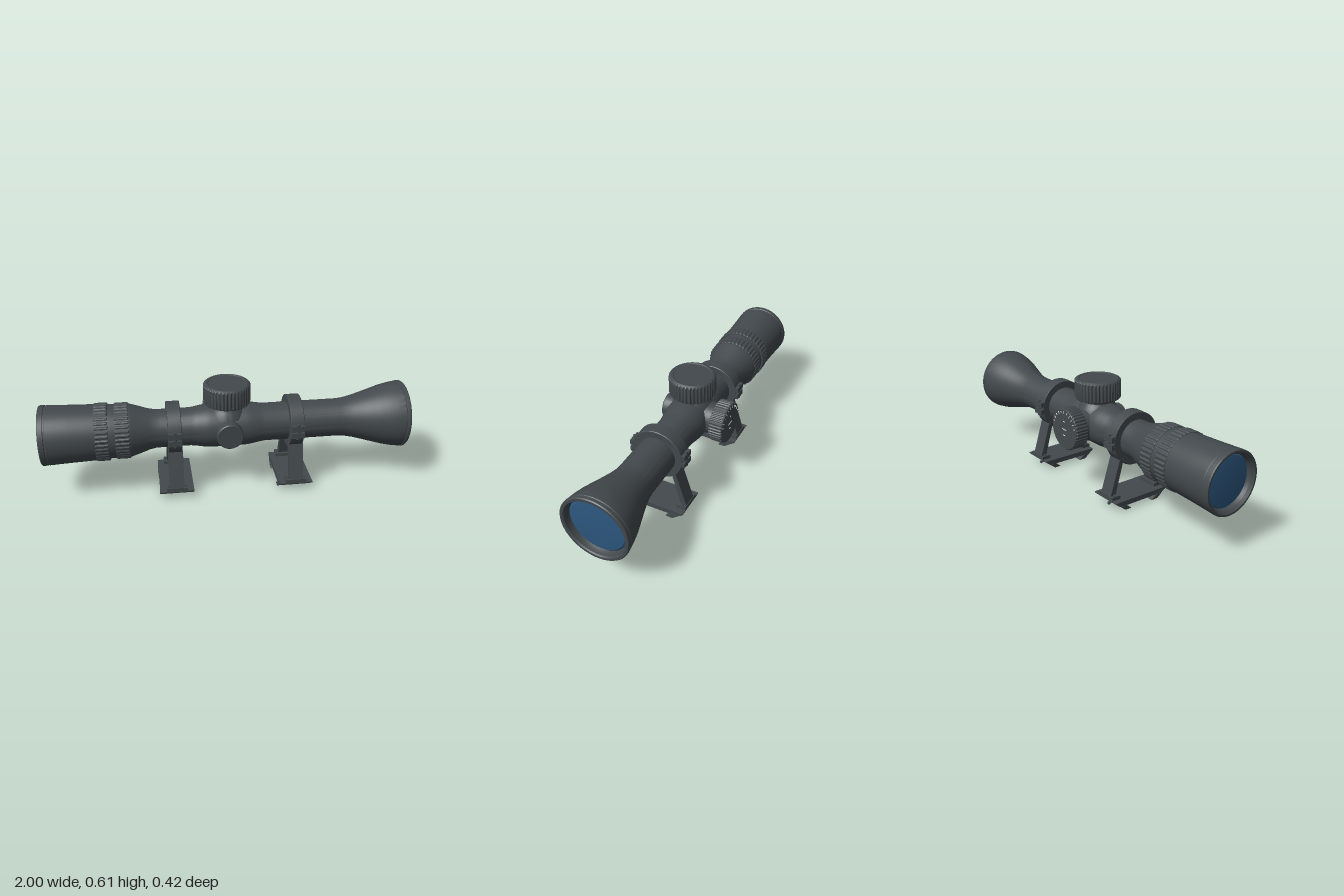
import * as THREE from 'three';
import { toCreasedNormals } from 'three/addons/utils/BufferGeometryUtils.js';

const AXIS_Y = 0.36, AXIS_Z = 0.022, TURRET_X = 0.005;

export function createModel() {
  const metal = new THREE.MeshStandardMaterial({ color: 0x43494d });
  metal.name = 'dark grey metal';
  const glass = new THREE.MeshStandardMaterial({ color: 0x2d5880 });
  glass.name = 'blue glass';
  const paint = new THREE.MeshStandardMaterial({ color: 0xd8dcde });
  paint.name = 'white paint';

  const model = new THREE.Group();
  model.name = 'scope';

  const add = (parent, name, geo, mat, x = 0, y = 0, z = 0) => {
    const mesh = new THREE.Mesh(geo, mat);
    mesh.name = name;
    mesh.position.set(x, y, z);
    parent.add(mesh);
    return mesh;
  };
  // Turned part from [radius, height] pairs, listed bottom to top
  const lathe = (pts, segments = 72) =>
    toCreasedNormals(new THREE.LatheGeometry(pts.map(p => new THREE.Vector2(p[0], p[1])), segments), 0.45);
  // Turned part whose vertices in a height band are cut into flutes
  const fluted = (pts, from, to, count, depth) => {
    const geo = new THREE.LatheGeometry(pts.map(p => new THREE.Vector2(p[0], p[1])), count * 4);
    const pos = geo.attributes.position;
    for (let i = 0; i < pos.count; i++) {
      const y = pos.getY(i), r = Math.hypot(pos.getX(i), pos.getZ(i));
      const step = Math.floor(i / pts.length) % 4;
      if (y < from || y > to || step < 2 || r < 0.09) continue;
      const k = (r - depth) / r;
      pos.setXYZ(i, pos.getX(i) * k, y, pos.getZ(i) * k);
    }
    return toCreasedNormals(geo, 0.45);
  };
  // Outline in (z, y) extruded along x and centred
  const slab = (pts, width) => {
    const shape = new THREE.Shape(pts.map(p => new THREE.Vector2(p[0], p[1])));
    const geo = new THREE.ExtrudeGeometry(shape, { depth: width, bevelEnabled: false });
    return geo.translate(0, 0, -width / 2).rotateY(-Math.PI / 2);
  };

  // Main tube with eyepiece, saddle bulge and objective bell
  const tube = lathe([
    [0.134, -0.955], [0.138, -0.985], [0.15, -1], [0.16, -1], [0.163, -0.995], [0.163, -0.972],
    [0.16, -0.969], [0.16, -0.964], [0.162, -0.961], [0.157, -0.85], [0.152, -0.7], [0.147, -0.64],
    [0.147, -0.53], [0.142, -0.515], [0.128, -0.47], [0.113, -0.425], [0.106, -0.39], [0.105, -0.36],
    [0.105, -0.2], [0.109, -0.17], [0.118, -0.12], [0.121, -0.09], [0.121, 0.1], [0.118, 0.13],
    [0.109, 0.18], [0.105, 0.21], [0.105, 0.62], [0.108, 0.66], [0.118, 0.71], [0.135, 0.77],
    [0.153, 0.83], [0.168, 0.88], [0.179, 0.93], [0.185, 0.972], [0.183, 0.975], [0.183, 0.979],
    [0.187, 0.982], [0.187, 0.995], [0.183, 1], [0.169, 1], [0.163, 0.994], [0.162, 0.975], [0.153, 0.955]
  ]).rotateZ(-Math.PI / 2);
  add(model, 'mainTube', tube, metal, 0, AXIS_Y, AXIS_Z);

  // Fluted adjustment rings on the eyepiece
  for (const [name, x, r, half] of [['focusRing', -0.675, 0.158, 0.036], ['zoomRing', -0.567, 0.153, 0.038]]) {
    const geo = fluted([
      [0.14, -half], [r - 0.004, -half], [r, -half + 0.005], [r, half - 0.005], [r - 0.004, half], [0.14, half]
    ], -half + 0.004, half - 0.004, 40, 0.004).rotateZ(-Math.PI / 2);
    add(model, name, geo, metal, x, AXIS_Y, AXIS_Z);
  }

  // Slightly domed lenses at both ends
  const lens = r => lathe([[r, 0], [r * 0.93, 0.008], [r * 0.6, 0.012], [0.0001, 0.014]]);
  add(model, 'objectiveLens', lens(0.157).rotateZ(-Math.PI / 2), glass, 0.96, AXIS_Y, AXIS_Z);
  add(model, 'eyepieceLens', lens(0.137).rotateZ(Math.PI / 2), glass, -0.96, AXIS_Y, AXIS_Z);

  // Top turret: flared neck and fluted cap
  add(model, 'topTurretNeck', lathe([
    [0.112, 0.07], [0.1, 0.1], [0.09, 0.112], [0.085, 0.122], [0.09, 0.145]
  ]), metal, TURRET_X, AXIS_Y, AXIS_Z);
  add(model, 'topTurretCap', fluted([
    [0.0001, 0], [0.122, 0], [0.128, 0.006], [0.128, 0.1], [0.122, 0.106], [0.112, 0.111],
    [0.105, 0.111], [0.1, 0.108], [0.0001, 0.108]
  ], 0.005, 0.102, 40, 0.004), metal, TURRET_X, 0.501, AXIS_Z);

  // Rear side turret
  const side = new THREE.Group();
  side.name = 'sideTurret';
  side.position.set(TURRET_X, AXIS_Y, 0);
  model.add(side);
  add(side, 'sideTurretNeck', lathe([[0.1, 0.04], [0.088, 0.09], [0.085, 0.13]]).rotateX(-Math.PI / 2), metal);
  add(side, 'sideTurretCap', fluted([
    [0.0001, 0.126], [0.112, 0.126], [0.117, 0.131], [0.117, 0.198], [0.111, 0.205], [0.0001, 0.205]
  ], 0.13, 0.199, 40, 0.004).rotateX(-Math.PI / 2), metal);
  // Scale marks around the upper rim of the cap
  for (let i = -5; i <= 5; i++) {
    const a = i * 0.26;
    const mark = add(side, 'scaleMark', new THREE.BoxGeometry(0.004, i % 2 ? 0.01 : 0.016, 0.003), paint,
      Math.sin(a) * 0.097, Math.cos(a) * 0.097, -0.206);
    mark.rotation.z = -a;
  }
  for (const [y, w] of [[0.045, 0.012], [0, 0.04], [-0.035, 0.018]])
    add(side, 'dialMark', new THREE.BoxGeometry(w, 0.004, 0.003), paint, 0, y, -0.206);

  // Front round cover
  add(model, 'frontCover', lathe([
    [0.072, 0.06], [0.072, 0.152], [0.068, 0.157], [0.0001, 0.157]
  ]).rotateX(Math.PI / 2), metal, TURRET_X, AXIS_Y, AXIS_Z);

  // Two raised mounts
  for (const x of [-0.29, 0.375]) {
    const mount = new THREE.Group();
    mount.name = 'mount';
    mount.position.set(x, 0, AXIS_Z);
    model.add(mount);

    const ring = lathe([
      [0.104, -0.037], [0.142, -0.037], [0.145, -0.034], [0.145, 0.034], [0.142, 0.037], [0.104, 0.037]
    ]).rotateZ(-Math.PI / 2);
    add(mount, 'clampRing', ring, metal, 0, AXIS_Y);
    add(mount, 'basePlate', slab([
      [-0.172, 0.052], [-0.172, 0.045], [-0.142, 0.024], [0.142, 0.024], [0.172, 0.045], [0.172, 0.052]
    ], 0.186), metal);

    for (const s of [-1, 1]) {
      const order = pts => pts.map(([z, y]) => [z * s, y]);
      add(mount, 'leg', slab(order([[0.17, 0.065], [0.108, 0.27], [0.083, 0.27], [0.137, 0.065]]), 0.08), metal);
      add(mount, 'railClaw', slab(order([[0.144, 0.026], [0.111, 0], [0.071, 0], [0.108, 0.026]]), 0.19), metal);
      add(mount, 'footBlock', new THREE.BoxGeometry(0.116, 0.022, 0.054), metal, 0, 0.06, s * 0.145);
      // Split clamp lugs with a screw between them
      for (const y of [0.342, 0.384])
        add(mount, 'clampLug', new THREE.BoxGeometry(0.072, 0.03, 0.04), metal, 0, y, s * 0.139);
      add(mount, 'clampScrew', new THREE.CylinderGeometry(0.009, 0.009, 0.09, 16), metal, 0, 0.363, s * 0.15);
      for (const sx of [-1, 1])
        add(mount, 'footScrew', new THREE.CylinderGeometry(0.007, 0.007, 0.008, 12), metal, sx * 0.048, 0.074, s * 0.15);
    }
    // Small locking bolt at the rear underside
    add(mount, 'lockingBolt', new THREE.CylinderGeometry(0.009, 0.009, 0.008, 16).rotateX(Math.PI / 2),
      metal, 0, 0.013, -0.148);
    add(mount, 'boltShaft', new THREE.CylinderGeometry(0.004, 0.004, 0.06, 12).rotateX(Math.PI / 2),
      metal, 0, 0.013, -0.125);
  }
  return model;
}
